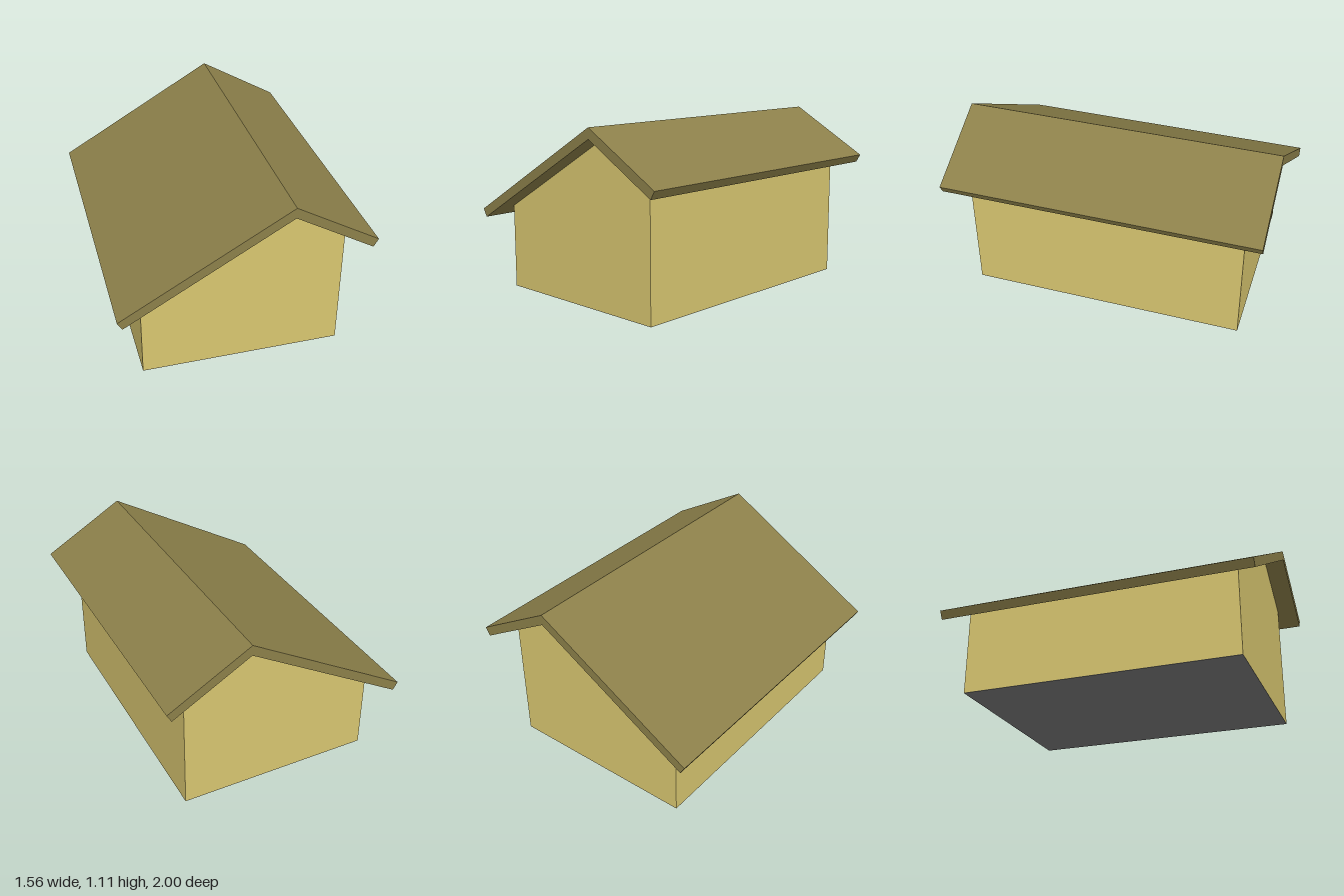
import * as THREE from 'three';

const SLOPE = Math.tan(Math.PI / 6);
const RIDGE_X = 0.26, RIDGE_TOP = 1.112, RIDGE_UNDER = 1.045;
const HALF_W = 0.623, HALF_D = 0.875, WALL = 0.05, BASE = 0.002;
const ROOF_T = (RIDGE_TOP - RIDGE_UNDER) * Math.cos(Math.PI / 6);

// Height of the roof underside above a given x
const under = (x) => RIDGE_UNDER - Math.abs(x - RIDGE_X) * SLOPE;

export function createModel() {
  const model = new THREE.Group();
  const wallMat = new THREE.MeshStandardMaterial({ color: 0xd8c670 });
  const roofMat = new THREE.MeshStandardMaterial({ color: 0x8c804a });
  const floorMat = new THREE.MeshStandardMaterial({ color: 0x7a7a7a });

  // Extrude an x-y outline along z, from z0 to z1
  function prism(name, points, z0, z1, material) {
    const shape = new THREE.Shape(points.map(([x, y]) => new THREE.Vector2(x, y)));
    const geo = new THREE.ExtrudeGeometry(shape, { depth: z1 - z0, bevelEnabled: false });
    geo.translate(0, 0, z0);
    const mesh = new THREE.Mesh(geo, material);
    mesh.name = name;
    model.add(mesh);
  }

  // Gable walls, front and back
  const gable = [
    [-HALF_W, BASE], [HALF_W, BASE], [HALF_W, under(HALF_W)],
    [RIDGE_X, RIDGE_UNDER], [-HALF_W, under(-HALF_W)],
  ];
  prism('frontGableWall', gable, HALF_D - WALL, HALF_D, wallMat);
  prism('backGableWall', gable, -HALF_D, -HALF_D + WALL, wallMat);

  // Side walls with tops cut to the roof slope
  for (const [name, s] of [['leftWall', 1], ['rightWall', -1]]) {
    const outer = s * HALF_W, inner = s * (HALF_W - WALL);
    prism(name, [
      [inner, BASE], [outer, BASE], [outer, under(outer)], [inner, under(inner)],
    ], -HALF_D + WALL, HALF_D - WALL, wallMat);
  }

  // Roof slabs, mitred at the ridge and cut square at the eaves
  for (const [name, s, run] of [['shortRoofSlope', 1, 0.52], ['longRoofSlope', -1, 1.04]]) {
    const eaveX = RIDGE_X + s * run, eaveY = RIDGE_TOP - run * SLOPE;
    prism(name, [
      [RIDGE_X, RIDGE_UNDER], [RIDGE_X, RIDGE_TOP], [eaveX, eaveY],
      [eaveX - s * ROOF_T * 0.5, eaveY - ROOF_T * Math.cos(Math.PI / 6)],
    ], -1, 1, roofMat);
  }

  // Thin floor plate under the walls
  const floor = new THREE.Mesh(new THREE.BoxGeometry(2 * HALF_W, BASE, 2 * HALF_D), floorMat);
  floor.position.y = BASE / 2;
  floor.name = 'floor';
  model.add(floor);

  return model;
}
